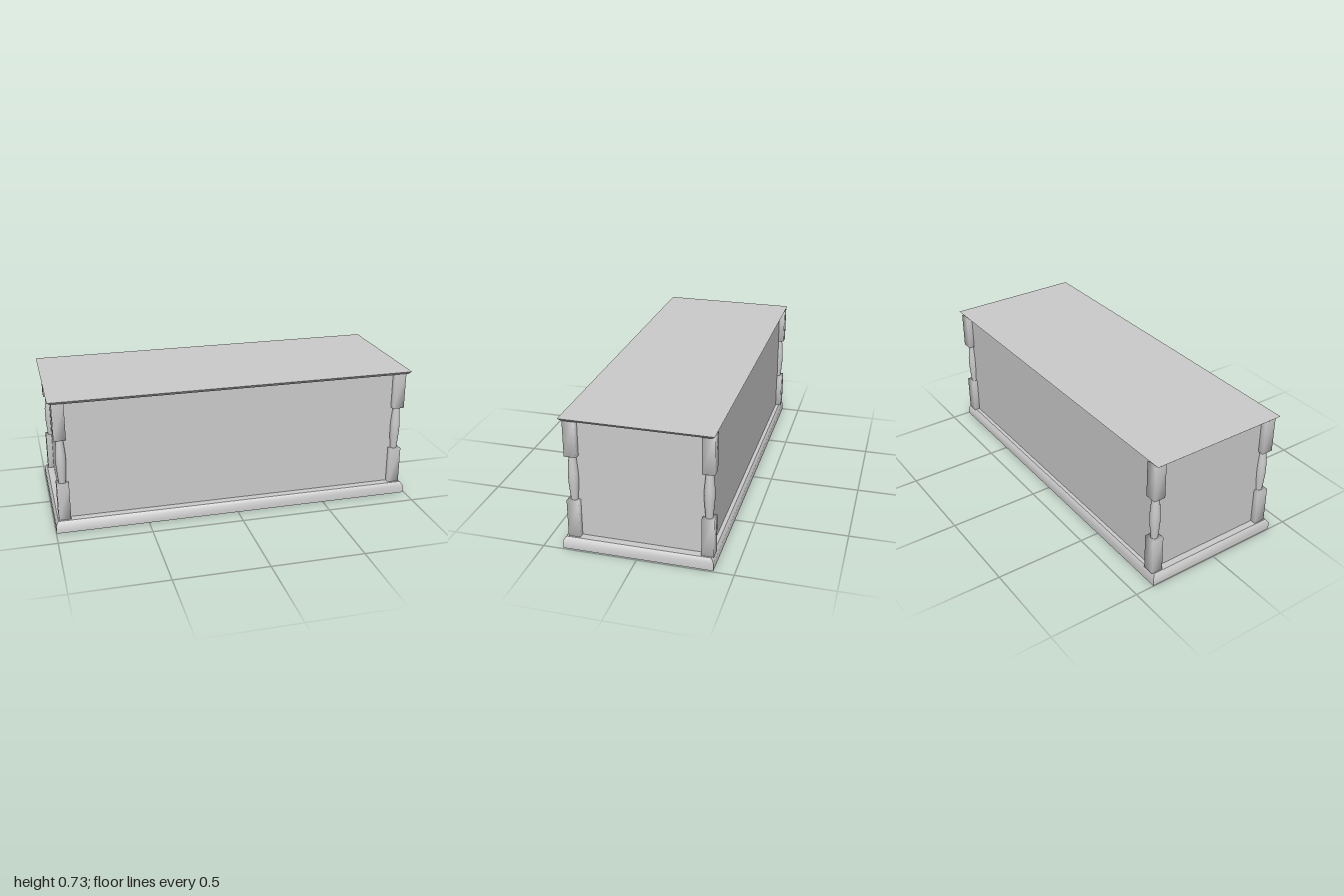
import * as THREE from 'three';
import { mergeVertices, toCreasedNormals } from 'three/addons/utils/BufferGeometryUtils.js';

const grey = new THREE.MeshStandardMaterial({ color: 0xcccccc });
const greyDouble = new THREE.MeshStandardMaterial({ color: 0xcccccc, side: THREE.DoubleSide });

function addMesh(parent, name, geometry, material = grey) {
  const mesh = new THREE.Mesh(geometry, material);
  mesh.name = name;
  parent.add(mesh);
  return mesh;
}

// Stacked rectangles [y, x0, x1, z0, z1], bottom to top, joined by sloping walls
function rectLoft(rings, capBottom, crease) {
  const pos = [], idx = [];
  for (const [y, x0, x1, z0, z1] of rings) pos.push(x0, y, z1, x1, y, z1, x1, y, z0, x0, y, z0);
  for (let r = 0; r < rings.length - 1; r++) {
    for (let i = 0; i < 4; i++) {
      const a = r * 4 + i, b = r * 4 + (i + 1) % 4;
      idx.push(a, b, b + 4, a, b + 4, a + 4);
    }
  }
  const t = (rings.length - 1) * 4;
  idx.push(t, t + 1, t + 2, t, t + 2, t + 3);
  if (capBottom) idx.push(0, 2, 1, 0, 3, 2);
  const g = new THREE.BufferGeometry();
  g.setAttribute('position', new THREE.Float32BufferAttribute(pos, 3));
  g.setIndex(idx);
  return toCreasedNormals(g, crease);
}

// Square block with shared corners, so the shading runs softly round it
function softBlock(width, height) {
  const box = new THREE.BoxGeometry(width, height, width);
  box.deleteAttribute('normal');
  box.deleteAttribute('uv');
  const g = mergeVertices(box);
  g.computeVertexNormals();
  return g;
}

export function createModel() {
  const model = new THREE.Group();
  model.name = 'chest';

  // Plinth: chamfered shell, hollow underneath
  addMesh(model, 'plinth', rectLoft([
    [0, -0.998, 0.992, -0.393, 0.394],
    [0.044, -0.998, 0.992, -0.393, 0.394],
    [0.064, -0.984, 0.978, -0.379, 0.38],
  ], false, 0.85), greyDouble);

  // Plain body whose corners meet the middle of the posts
  const x0 = -0.947, x1 = 0.938, z0 = -0.358, z1 = 0.338;
  const body = addMesh(model, 'body', new THREE.BoxGeometry(x1 - x0, 0.653, z1 - z0));
  body.position.set((x0 + x1) / 2, 0.3905, (z0 + z1) / 2);

  // Lid: thin slab flaring outward to its top edge
  addMesh(model, 'lid', rectLoft([
    [0.716, -0.983, 0.982, -0.377, 0.366],
    [0.732, -1, 0.998, -0.393, 0.381],
  ], true, 0.3));

  // Corner posts: two square blocks with a turned baluster between
  const profile = [[0.018, 0.265], [0.022, 0.305], [0.0265, 0.36], [0.0275, 0.395],
    [0.0265, 0.43], [0.022, 0.48], [0.018, 0.522]].map(([r, y]) => new THREE.Vector2(r, y));
  for (const [x, sideName] of [[x0, 'Right'], [x1, 'Left']]) {
    for (const [z, endName] of [[z0, 'back'], [z1, 'front']]) {
      const post = new THREE.Group();
      post.name = endName + sideName + 'Post';
      post.position.set(x, 0, z);
      addMesh(post, 'lowerBlock', softBlock(0.064, 0.205)).position.y = 0.1675;
      addMesh(post, 'baluster', new THREE.LatheGeometry(profile, 24));
      addMesh(post, 'upperBlock', softBlock(0.064, 0.202)).position.y = 0.618;
      model.add(post);
    }
  }
  return model;
}
